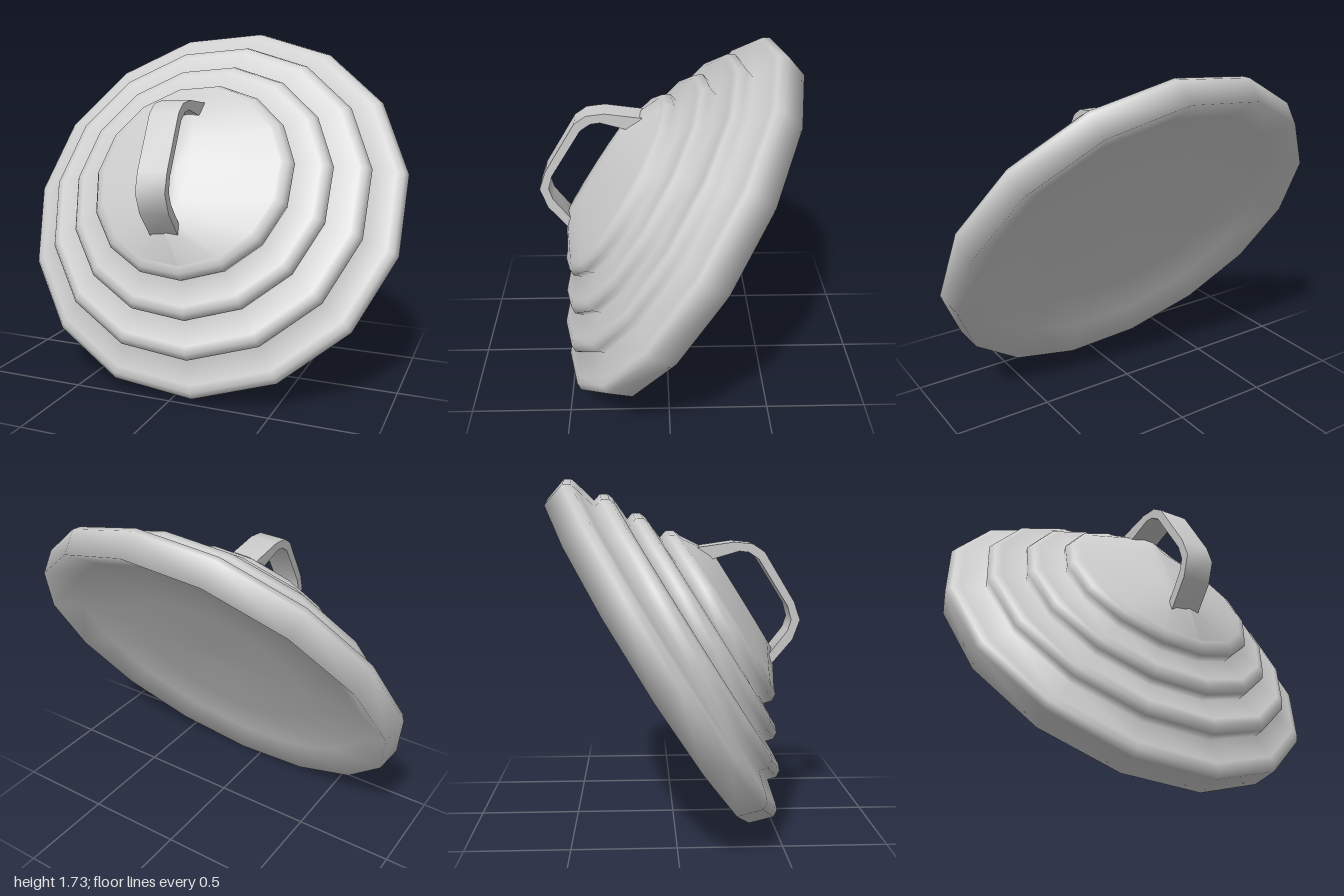
import * as THREE from 'three';
import { toCreasedNormals } from 'three/addons/utils/BufferGeometryUtils.js';

export function createModel() {
  const grey = new THREE.MeshStandardMaterial({ color: 0xcccccc });
  grey.name = 'plain grey';
  const v = (x, y) => new THREE.Vector2(x, y);
  const phase = THREE.MathUtils.degToRad(6.5);

  // lid profile: recessed back, rim, then stepped tiers
  const profile = [v(0, 0.1), v(0.5, 0.09), v(0.82, 0.07), v(0.968, 0)];
  const tiers = [[1.004, 0.135], [0.845, 0.25], [0.677, 0.338], [0.512, 0.435]];
  tiers.forEach(([r, a], i) => {
    if (i > 0) profile.push(v(r - 0.012, a - 0.058));
    profile.push(v(r, a - 0.015), v(r - 0.02, a + 0.018), v(r - 0.055, a + 0.03));
  });
  const lid = new THREE.Mesh(new THREE.LatheGeometry(profile, 15, phase), grey);
  lid.name = 'steppedLid';

  // crown: rises from the top tier to a narrow ridge under the handle
  const crownShape = new THREE.LatheGeometry(
    [v(0.457, 0.465), v(0.3, 0.56), v(0, 0.565)], 15, phase);
  const p = crownShape.attributes.position;
  for (let i = 0; i < p.count; i++) {
    if (p.getY(i) > 0.5) p.setX(i, p.getX(i) * 0.25 - 0.03);
  }
  crownShape.computeVertexNormals();
  const crown = new THREE.Mesh(crownShape, grey);
  crown.name = 'crown';

  // strap handle: arch outline extruded across its width
  const outer = [[-0.34, 0.5], [-0.284, 0.671], [-0.218, 0.754], [-0.123, 0.775],
    [0.169, 0.777], [0.234, 0.748], [0.29, 0.677], [0.369, 0.5]];
  const inner = [[0.28, 0.53], [0.24, 0.672], [0.21, 0.709], [0.155, 0.734],
    [-0.124, 0.736], [-0.194, 0.716], [-0.232, 0.672], [-0.285, 0.53]];
  const shape = new THREE.Shape([...outer, ...inner].map(([x, y]) => v(x, y)));
  const width = 0.145;
  const strap = new THREE.ExtrudeGeometry(shape, { depth: width, bevelEnabled: false });
  strap.translate(0, 0, -width / 2).rotateY(Math.PI / 2);
  const handle = new THREE.Mesh(toCreasedNormals(strap, 1.0), grey);
  handle.name = 'handle';
  handle.position.x = -0.037;
  handle.rotation.y = 0.035;

  // whole lid leans back
  const tilted = new THREE.Group();
  tilted.name = 'tiltedLid';
  tilted.add(lid, crown, handle);
  tilted.rotation.x = THREE.MathUtils.degToRad(58);
  tilted.position.set(0.008, 0.814, -0.12);

  const model = new THREE.Group();
  model.name = 'lidWithHandle';
  model.add(tilted);
  return model;
}
